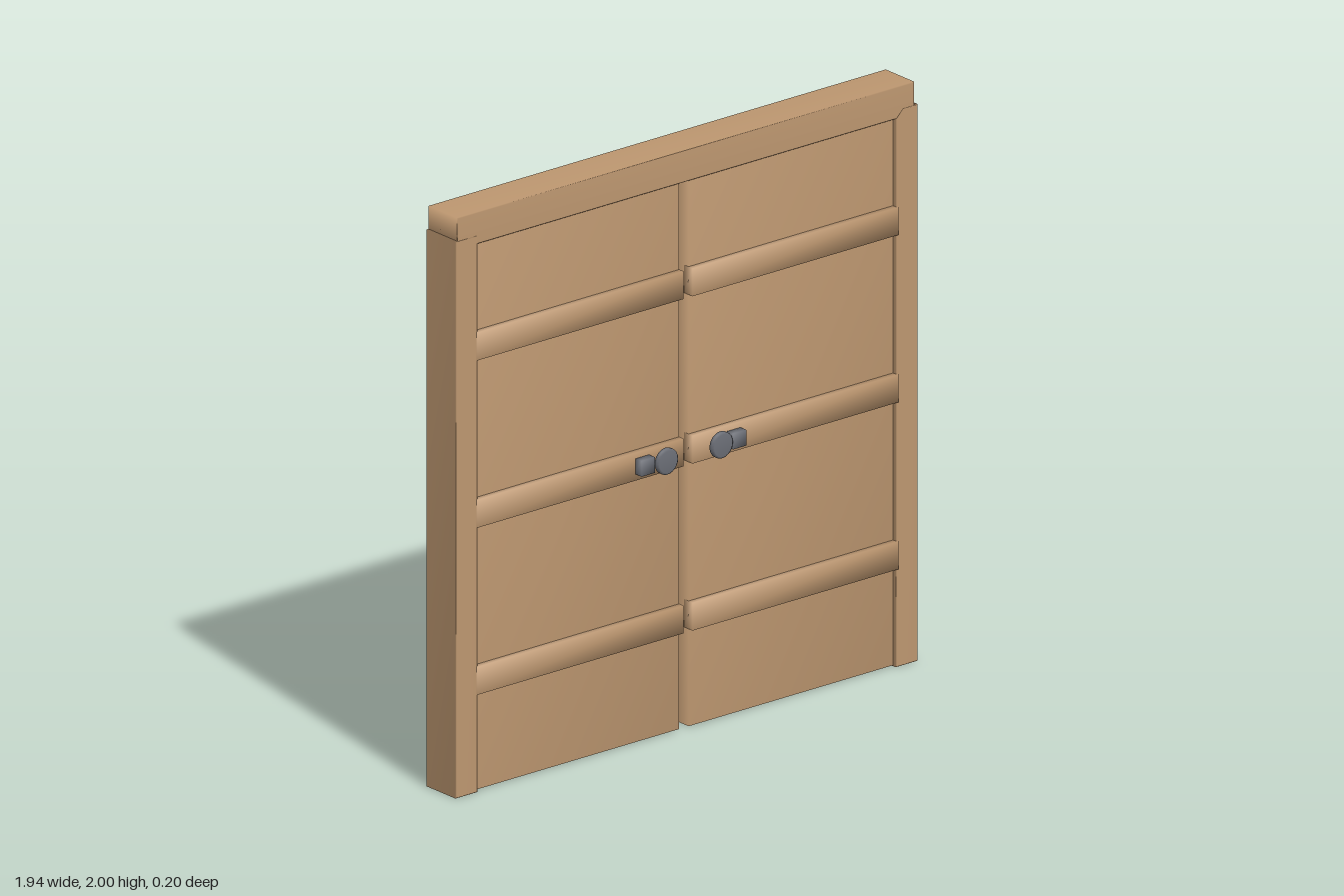
import * as THREE from 'three';
import { mergeVertices } from 'three/addons/utils/BufferGeometryUtils.js';

const wood = new THREE.MeshStandardMaterial({ color: 0xbd9770 });
const metal = new THREE.MeshStandardMaterial({ color: 0x6b6e76 });

// Weld shared corners so the shading rolls softly over the edges
function soften(geometry) {
  geometry.deleteAttribute('normal');
  geometry.deleteAttribute('uv');
  const welded = mergeVertices(geometry, 1e-4);
  welded.computeVertexNormals();
  return welded;
}

function addMesh(parent, name, geometry, material) {
  const mesh = new THREE.Mesh(geometry, material);
  mesh.name = name;
  parent.add(mesh);
  return mesh;
}

// Softly shaded block given by its extents
function block(parent, name, [x0, x1], [y0, y1], [z0, z1], material = wood) {
  const geometry = new THREE.BoxGeometry(x1 - x0, y1 - y0, z1 - z0);
  geometry.translate((x0 + x1) / 2, (y0 + y1) / 2, (z0 + z1) / 2);
  return addMesh(parent, name, soften(geometry), material);
}

// Outline extruded along z with a small worn bevel
function bevelled(points, z0, z1, bevel) {
  const shape = new THREE.Shape(points.map(([x, y]) => new THREE.Vector2(x, y)));
  const geometry = new THREE.ExtrudeGeometry(shape, {
    depth: z1 - z0 - 2 * bevel, bevelEnabled: true, bevelSegments: 1,
    bevelSize: bevel, bevelOffset: -bevel, bevelThickness: bevel,
  });
  geometry.translate(0, 0, z0 + bevel);
  return soften(geometry);
}

function createDoor(side) {
  const door = new THREE.Group();
  door.name = side > 0 ? 'leftDoor' : 'rightDoor';
  const span = (a, b) => (side > 0 ? [a, b] : [-b, -a]);

  block(door, 'panel', span(0.02, 0.885), [0.003, 1.91], [-0.083, 0.036]);

  // Three horizontal battens
  for (const y of [0.387, 0.963, 1.54]) {
    block(door, 'batten', span(0.019, 0.884), [y - 0.048, y + 0.048], [0.015, 0.057]);
  }

  // Knob: mounting block and a round disc with a softened rim
  const knob = new THREE.Group();
  knob.name = 'knob';
  door.add(knob);
  block(knob, 'knobMount', span(0.164, 0.22), [0.937, 0.991], [0.05, 0.087], metal);
  const profile = [[0, -0.011], [0.038, -0.011], [0.045, -0.005],
    [0.045, 0.005], [0.038, 0.011], [0, 0.011]];
  const disc = addMesh(knob, 'knobDisc', new THREE.LatheGeometry(
    profile.map(([r, h]) => new THREE.Vector2(r, h)), 24), metal);
  disc.rotation.x = Math.PI / 2;
  disc.position.set(side * 0.115, 0.965, 0.086);
  return door;
}

export function createModel() {
  const model = new THREE.Group();
  model.name = 'doubleDoor';

  // Frame: two posts and the lintel across them
  addMesh(model, 'rightPost', bevelled(
    [[-0.97, 0], [-0.878, 0], [-0.878, 1.92], [-0.97, 1.92]], -0.099, 0.052, 0.003), wood);
  addMesh(model, 'leftPost', bevelled(
    [[0.878, 0], [0.97, 0], [0.97, 1.92], [0.908, 1.92], [0.878, 1.89]], -0.096, 0.052, 0.003), wood);
  addMesh(model, 'lintel', bevelled(
    [[-0.962, 1.89], [0.957, 1.89], [0.957, 2], [-0.962, 2]], -0.098, 0.05, 0.003), wood);

  for (const side of [-1, 1]) model.add(createDoor(side));
  return model;
}
